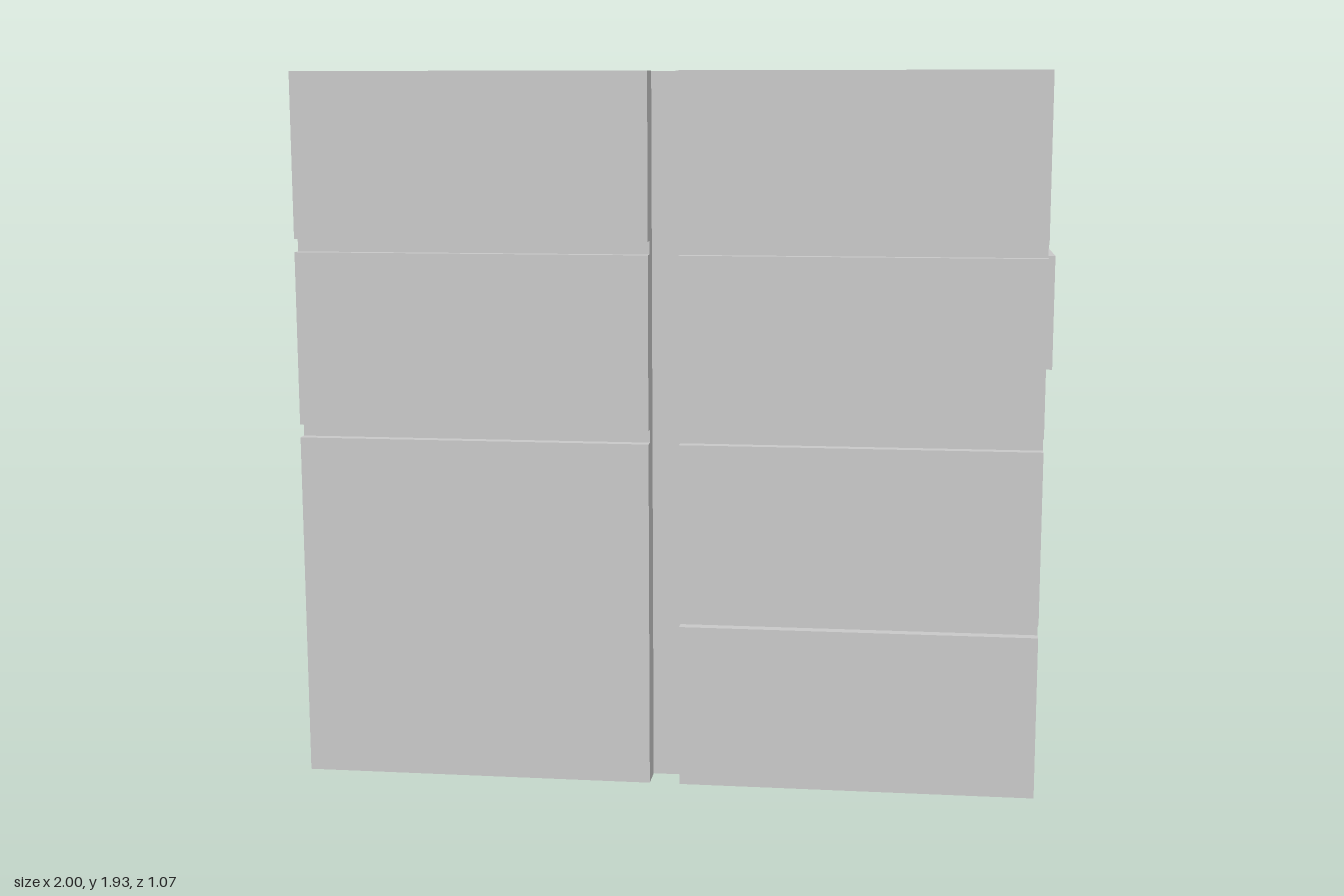
import * as THREE from 'three';

const material = new THREE.MeshStandardMaterial({ color: 0xcccccc, flatShading: true });

const BOTTOM = 0.04, TOP = 1.93, BACK = -0.535, FRONT = 0.535;
const GROOVE_Z = 0.505; // floor of the horizontal grooves
const SLOT_Z = 0.46;    // floor of the vertical slot
const LEFT = -1, RIGHT = 0.96, SKIN = 0.02;
const SLOT = [-0.06, 0.02];

function addMesh(parent, name, geometry) {
  const mesh = new THREE.Mesh(geometry, material);
  mesh.name = name;
  parent.add(mesh);
  return mesh;
}

// Box given by its extents on each axis
function addBox(parent, name, [x0, x1], [y0, y1], [z0, z1]) {
  const mesh = addMesh(parent, name, new THREE.BoxGeometry(x1 - x0, y1 - y0, z1 - z0));
  mesh.position.set((x0 + x1) / 2, (y0 + y1) / 2, (z0 + z1) / 2);
  return mesh;
}

function polygon(points, Type = THREE.Shape) {
  return new Type(points.map(([x, y]) => new THREE.Vector2(x, y)));
}

const rectangle = (a0, a1, b0, b1) => [[a0, b0], [a1, b0], [a1, b1], [a0, b1]];

export function createModel() {
  const model = new THREE.Group();
  model.name = 'cabinet';

  // Carcass: plan outline with the front slot, extruded upwards (shape y = -z)
  const plan = polygon([
    [LEFT + SKIN, -BACK], [LEFT + SKIN, -GROOVE_Z],
    [SLOT[0], -GROOVE_Z], [SLOT[0], -SLOT_Z],
    [SLOT[1], -SLOT_Z], [SLOT[1], -GROOVE_Z],
    [RIGHT, -GROOVE_Z], [RIGHT, -BACK],
  ]);
  const carcass = new THREE.ExtrudeGeometry(plan, { depth: TOP - BOTTOM, bevelEnabled: false });
  carcass.rotateX(-Math.PI / 2).translate(0, BOTTOM, 0);
  addMesh(model, 'carcass', carcass);

  // Side skin with two recessed panels (shape x = z)
  const side = polygon(rectangle(BACK, GROOVE_Z, BOTTOM, TOP));
  for (const [y0, y1] of [[1.23, 1.9], [0.5, 1.16]]) {
    side.holes.push(polygon(rectangle(-0.15, 0.3, y0, y1), THREE.Path));
  }
  const skin = new THREE.ExtrudeGeometry(side, { depth: SKIN, bevelEnabled: false });
  skin.rotateY(-Math.PI / 2).translate(LEFT + SKIN, 0, 0);
  addMesh(model, 'recessedSidePanel', skin);

  // Front panels, separated by the horizontal grooves
  const columns = [
    { x: [LEFT, SLOT[0]], rows: [[BOTTOM, 0.965], [1.0, 1.46], [1.495, TOP]] },
    { x: [SLOT[1], RIGHT], rows: [[BOTTOM, 0.475], [0.51, 0.965], [1.0, 1.46], [1.495, TOP]] },
  ];
  for (const { x, rows } of columns) {
    for (const y of rows) addBox(model, 'frontPanel', x, y, [GROOVE_Z, FRONT]);
  }

  // Raised plate on the +x side
  addBox(model, 'sidePlate', [RIGHT, 1], [1.13, 1.44], [BACK, 0.17]);

  // Flat feet; the one nearest +x reaches the back
  const feet = [[-0.945, -0.54, -0.37], [-0.5, -0.095, -0.37], [-0.06, 0.35, -0.37], [0.4, 0.82, BACK]];
  for (const [x0, x1, z0] of feet) addBox(model, 'foot', [x0, x1], [0, BOTTOM], [z0, 0.22]);

  return model;
}
